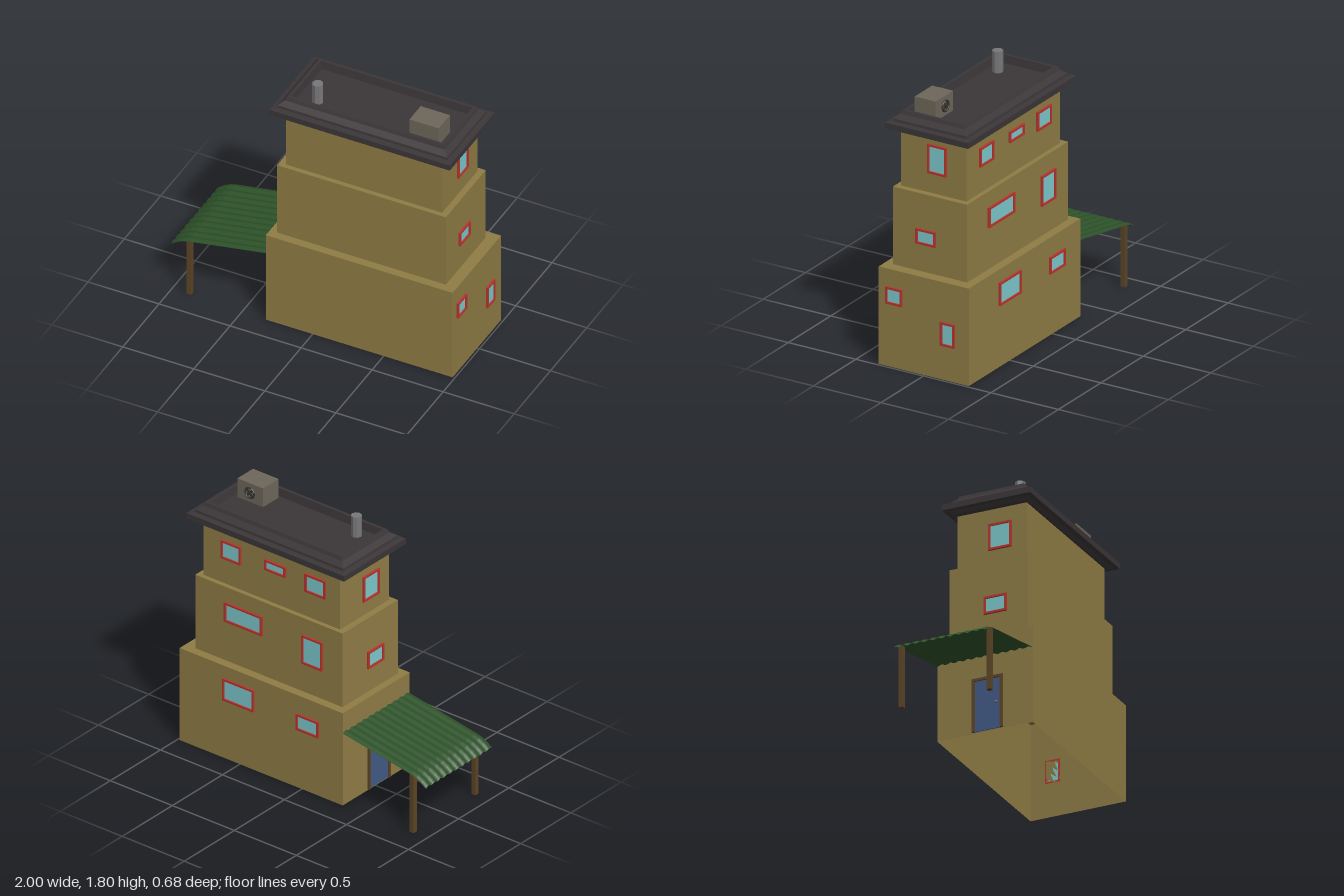
import * as THREE from 'three';

const paint = (color, extra = {}) => new THREE.MeshStandardMaterial({ color, flatShading: true, ...extra });

export function createModel() {
  const model = new THREE.Group();
  const wallMat = paint(0x8f7c45, { side: THREE.DoubleSide });
  const roofMat = paint(0x3b3638);
  const frameMat = paint(0xb8352d);
  const glassMat = paint(0x7cc8cc);
  const woodMat = paint(0x5c4526);
  const doorMat = paint(0x425a86);
  const canopyMat = paint(0x2d5229, { side: THREE.DoubleSide });
  const metalMat = paint(0x77777a);
  const unitMat = paint(0x6d675a);
  const darkMat = paint(0x35332f);

  const add = (name, geometry, material, parent = model) => {
    const mesh = new THREE.Mesh(geometry, material);
    mesh.name = name;
    parent.add(mesh);
    return mesh;
  };
  // Box given by its limits on each axis
  const box = (name, [x0, x1], [y0, y1], [z0, z1], material, parent) => {
    const mesh = add(name, new THREE.BoxGeometry(x1 - x0, y1 - y0, z1 - z0), material, parent);
    mesh.position.set((x0 + x1) / 2, (y0 + y1) / 2, (z0 + z1) / 2);
    return mesh;
  };

  // Three stepped storeys, hollow and open underneath
  const storeys = [
    { name: 'groundStorey', x: [-0.33, 0.985], y: [0, 0.665], z: [-0.327, 0.34] },
    { name: 'middleStorey', x: [-0.28, 0.908], y: [0.665, 1.195], z: [-0.267, 0.283] },
    { name: 'topStorey', x: [-0.235, 0.866], y: [1.195, 1.585], z: [-0.235, 0.25] },
  ];
  for (const s of storeys) {
    const g = box(s.name, s.x, s.y, s.z, wallMat).geometry;
    const index = Array.from(g.index.array);
    index.splice(18, 6); // bottom face
    g.setIndex(index);
  }

  // Window: a red frame with a hole and a slightly recessed pane
  const addWindow = (side, storey, [a0, a1], [y0, y1]) => {
    const w = a1 - a0, h = y1 - y0, b = 0.014;
    const rect = (Type, hw, hh) => new Type([[-hw, -hh], [hw, -hh], [hw, hh], [-hw, hh]]
      .map(([x, y]) => new THREE.Vector2(x, y)));
    const shape = rect(THREE.Shape, w / 2, h / 2);
    shape.holes.push(rect(THREE.Path, w / 2 - b, h / 2 - b));
    const group = new THREE.Group();
    group.name = side + 'Window';
    add('windowFrame', new THREE.ExtrudeGeometry(shape, { depth: 0.014, bevelEnabled: false }), frameMat, group);
    box('windowPane', [b - w / 2, w / 2 - b], [b - h / 2, h / 2 - b], [0, 0.005], glassMat, group);
    const s = storeys[storey], mid = (a0 + a1) / 2, y = (y0 + y1) / 2;
    if (side === 'left') group.position.set(s.x[1], y, mid);
    if (side === 'right') group.position.set(s.x[0], y, mid);
    if (side === 'back') group.position.set(mid, y, s.z[0]);
    group.rotation.y = { left: Math.PI / 2, right: -Math.PI / 2, back: Math.PI }[side];
    model.add(group);
  };
  [
    ['left', 0, [0.165, 0.285], [0.43, 0.545]],
    ['left', 0, [-0.225, -0.12], [0.235, 0.395]],
    ['left', 1, [-0.035, 0.11], [0.852, 0.955]],
    ['left', 2, [-0.09, 0.05], [1.33, 1.528]],
    ['right', 1, [-0.025, 0.135], [0.835, 0.955]],
    ['right', 2, [-0.015, 0.145], [1.295, 1.475]],
    ['back', 0, [0.382, 0.634], [0.42, 0.577]],
    ['back', 0, [-0.14, 0.04], [0.42, 0.535]],
    ['back', 1, [0.363, 0.667], [0.95, 1.087]],
    ['back', 1, [-0.123, 0.044], [0.87, 1.075]],
    ['back', 2, [0.56, 0.72], [1.375, 1.505]],
    ['back', 2, [0.2, 0.37], [1.415, 1.49]],
    ['back', 2, [-0.122, 0.044], [1.375, 1.505]],
  ].forEach((args) => addWindow(...args));

  // Door with frame and knob, set through the right wall
  const door = new THREE.Group();
  door.name = 'door';
  model.add(door);
  box('doorLeaf', [-0.337, -0.322], [0.01, 0.36], [-0.065, 0.115], doorMat, door);
  for (const z of [-0.082, 0.113]) box('doorJamb', [-0.346, -0.314], [0.01, 0.375], [z, z + 0.019], woodMat, door);
  box('doorLintel', [-0.346, -0.314], [0.357, 0.375], [-0.063, 0.113], woodMat, door);
  add('doorKnob', new THREE.SphereGeometry(0.009, 8, 6), metalMat, door).position.set(-0.346, 0.187, 0.09);

  // Roof: rectangular rings of [inset, height] from the eaves to the sunken deck
  const rings = [[0.05, 1.578], [0.035, 1.6], [0, 1.6], [0, 1.64], [0.037, 1.645], [0.04, 1.662],
    [0.073, 1.69], [0.083, 1.713], [0.104, 1.713], [0.114, 1.66]];
  const corners = rings.map(([d, y]) => [
    [-0.32 + d, y, 0.315 - d], [0.952 - d, y, 0.315 - d], [0.952 - d, y, -0.302 + d], [-0.32 + d, y, -0.302 + d]]);
  const tris = [];
  const quad = (a, b, c, d) => tris.push(...a, ...b, ...c, ...a, ...c, ...d);
  for (let i = 0; i + 1 < corners.length; i++) {
    for (let k = 0; k < 4; k++) {
      const n = (k + 1) % 4;
      quad(corners[i][k], corners[i][n], corners[i + 1][n], corners[i + 1][k]);
    }
  }
  quad(...corners[corners.length - 1]);
  quad(...[...corners[0]].reverse());
  const roofGeo = new THREE.BufferGeometry();
  roofGeo.setAttribute('position', new THREE.Float32BufferAttribute(tris, 3));
  roofGeo.computeVertexNormals();
  add('roof', roofGeo, roofMat);

  // Vent pipe
  add('ventPipe', new THREE.CylinderGeometry(0.036, 0.036, 0.145, 8), metalMat).position.set(-0.075, 1.732, 0.125);

  // Cooling unit with a fan at its back
  const unit = new THREE.Group();
  unit.name = 'coolingUnit';
  model.add(unit);
  box('unitCase', [0.602, 0.808], [1.66, 1.795], [0.03, 0.185], unitMat, unit);
  const fan = new THREE.Group();
  fan.name = 'fan';
  fan.position.set(0.703, 1.73, 0.022);
  unit.add(fan);
  add('fanRing', new THREE.TorusGeometry(0.036, 0.006, 6, 16), darkMat, fan);
  add('fanHub', new THREE.CylinderGeometry(0.01, 0.01, 0.02, 8).rotateX(Math.PI / 2), darkMat, fan);
  for (let i = 0; i < 4; i++) {
    const blade = add('fanBlade', new THREE.BoxGeometry(0.03, 0.016, 0.004).translate(0.018, 0, 0), darkMat, fan);
    blade.rotation.z = i * Math.PI / 2 + Math.PI / 4;
  }

  // Corrugated canopy: a sheet bent along x and rippled along z
  const bend = [[-1, 0.367], [-0.96, 0.395], [-0.92, 0.415], [-0.88, 0.427], [-0.33, 0.525]];
  const heightAt = (x) => {
    const i = Math.max(1, bend.findIndex(([px]) => x <= px + 1e-5));
    const [[x0, y0], [x1, y1]] = [bend[i - 1], bend[i]];
    return y0 + (y1 - y0) * (x - x0) / (x1 - x0);
  };
  const sheet = new THREE.PlaneGeometry(1, 0.663, bend.length - 1, 66).rotateX(-Math.PI / 2);
  const p = sheet.attributes.position;
  for (let i = 0; i < p.count; i++) {
    const x = bend[i % bend.length][0];
    const ripple = 0.005 * Math.cos(p.getZ(i) / 0.663 * 11 * Math.PI * 2);
    p.setXYZ(i, x, heightAt(x) + ripple, p.getZ(i) + 0.004);
  }
  sheet.computeVertexNormals();
  add('canopy', sheet, canopyMat);

  // Canopy posts
  for (const z of [-0.305, 0.31]) box('canopyPost', [-0.896, -0.864], [0, 0.422], [z - 0.016, z + 0.016], woodMat);

  return model;
}
